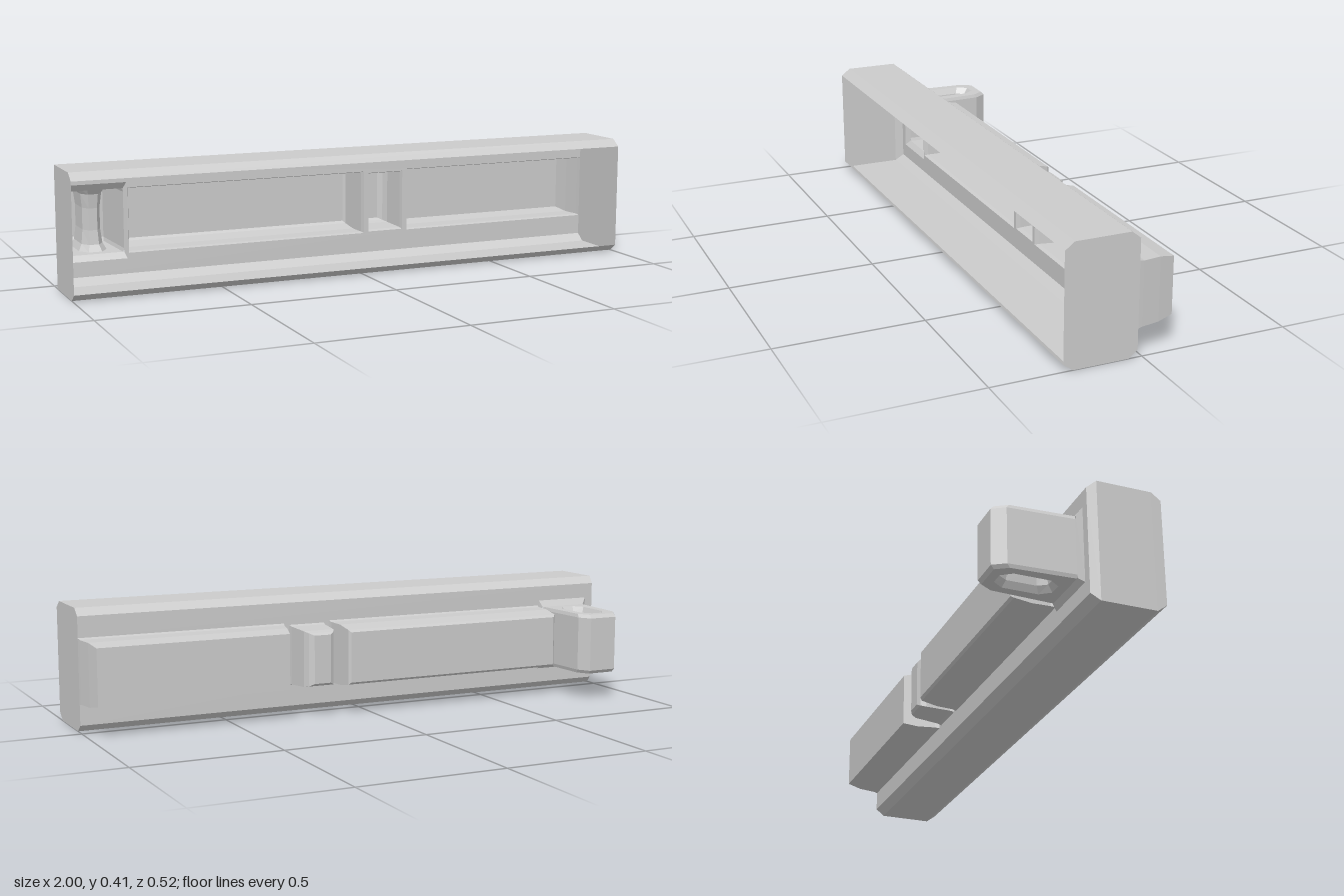
import * as THREE from 'three';

const material = new THREE.MeshStandardMaterial({ color: 0xcccccc, flatShading: true, side: THREE.DoubleSide });
const WALL_Z = 0.015;

// Skin between successive rings of points; optionally closed around and capped at the last ring
function skin(rings, { closed = true, cap = false } = {}) {
  const n = rings[0].length, index = [];
  const steps = closed ? n : n - 1;
  for (let r = 0; r < rings.length - 1; r++) {
    for (let i = 0; i < steps; i++) {
      const a = r * n + i, a2 = r * n + (i + 1) % n;
      index.push(a, a + n, a2, a2, a + n, a2 + n);
    }
  }
  if (cap) {
    const b = (rings.length - 1) * n;
    for (let i = 1; i < n - 1; i++) index.push(b, b + i + 1, b + i);
  }
  const g = new THREE.BufferGeometry();
  g.setAttribute('position', new THREE.Float32BufferAttribute(rings.flat(2), 3));
  g.setIndex(index);
  const out = g.toNonIndexed();
  out.computeVertexNormals();
  return out;
}

// Rectangular ring at depth z
const rect = (z, x0, x1, y0, y1) => [[x0, y0, z], [x1, y0, z], [x1, y1, z], [x0, y1, z]];

export function createModel() {
  const model = new THREE.Group();
  model.name = 'hollowRailCover';
  const add = (name, geometry, parent = model) => {
    const mesh = new THREE.Mesh(geometry, material);
    mesh.name = name;
    parent.add(mesh);
  };

  // Tray: open at the front, chamfered along its long edges
  add('trayWalls', skin([
    rect(0.262, -1, 1, 0.025, 0.385),
    rect(0.23, -1, 1, 0.001, 0.409),
    rect(0.045, -1, 1, 0.001, 0.409),
    rect(WALL_Z, -0.99, 1, 0.025, 0.385),
  ]));

  // Hollow pockets pushed out of the back wall
  const pockets = {
    longPocket: [
      rect(WALL_Z, -0.75, 0.108, 0.094, 0.314),
      rect(0, -0.745, 0.104, 0.097, 0.31),
      rect(-0.06, -0.741, 0.1, 0.098, 0.309),
      rect(-0.118, -0.737, 0.096, 0.108, 0.298),
      rect(-0.126, -0.729, 0.088, 0.116, 0.29),
    ],
    smallPocket: [
      rect(WALL_Z, 0.126, 0.258, 0.098, 0.308),
      rect(0, 0.13, 0.255, 0.102, 0.304),
      rect(-0.085, 0.137, 0.247, 0.107, 0.299),
      rect(-0.105, 0.146, 0.237, 0.112, 0.294),
      rect(-0.114, 0.16, 0.22, 0.12, 0.286),
    ],
    endPocket: [
      rect(WALL_Z, 0.276, 1, 0.094, 0.314),
      rect(0, 0.282, 0.998, 0.097, 0.31),
      rect(-0.06, 0.297, 0.988, 0.098, 0.309),
      rect(-0.112, 0.31, 0.976, 0.108, 0.298),
    ],
  };
  for (const [name, rings] of Object.entries(pockets)) add(name, skin(rings, { cap: true }));

  // Sloped collar around the foot of the loop
  const collar = [rect(WALL_Z, -0.96, -0.755, 0.076, 0.332), rect(0, -0.94, -0.762, 0.096, 0.31)];
  add('loopCollar', skin(collar));

  // Back wall with openings into every pocket, notched where the end pocket meets the end
  const v = (x, y) => new THREE.Vector2(x, -y);
  const wall = new THREE.Shape([
    v(-0.99, 0.025), v(1, 0.025), v(1, 0.094), v(0.276, 0.094),
    v(0.276, 0.314), v(1, 0.314), v(1, 0.385), v(-0.99, 0.385),
  ]);
  for (const ring of [pockets.longPocket[0], pockets.smallPocket[0], collar[0]]) {
    wall.holes.push(new THREE.Path(ring.map(([x, y]) => v(x, y))));
  }
  add('backWall', new THREE.ShapeGeometry(wall).rotateX(Math.PI).translate(0, 0, WALL_Z));

  // Loop: hollow lug with a waisted eye running through it vertically
  const loop = new THREE.Group();
  loop.name = 'loop';
  model.add(loop);
  const cx = -0.851;
  const lug = [[-0.089, 0], [-0.078, -0.22], [-0.052, -0.262], [0.052, -0.262], [0.078, -0.22], [0.089, 0]];
  const eye = [[-0.022, -0.095], [0.022, -0.095], [0.047, -0.06], [0.047, 0.06],
    [0.022, 0.095], [-0.022, 0.095], [-0.047, 0.06], [-0.047, -0.06]];
  const eyeZ = -0.127;
  const lugRing = (y, s) => lug.map(([x, z]) => [cx + x * s, y, z * s]);
  const eyeRing = (y, sx, sz) => eye.map(([x, z]) => [cx + x * sx, y, eyeZ + z * sz]);
  add('loopWall', skin([
    lugRing(0.096, 0.96), lugRing(0.108, 1), lugRing(0.298, 1), lugRing(0.31, 0.96),
  ], { closed: false }), loop);
  add('loopEye', skin([
    eyeRing(0.31, 1, 1), eyeRing(0.288, 0.76, 0.84), eyeRing(0.24, 0.64, 0.77),
    eyeRing(0.166, 0.64, 0.77), eyeRing(0.118, 0.76, 0.84), eyeRing(0.096, 1, 1),
  ]), loop);

  // Top and bottom faces of the loop
  for (const [name, y, s] of [['loopBottom', 0.096, 1], ['loopTop', 0.31, -1]]) {
    const flat = ([x, , z]) => new THREE.Vector2(x, s * z);
    const face = new THREE.Shape(lugRing(y, 0.96).map(flat));
    face.holes.push(new THREE.Path(eyeRing(y, 1, 1).map(flat)));
    add(name, new THREE.ShapeGeometry(face).rotateX(s * Math.PI / 2).translate(0, y, 0), loop);
  }
  return model;
}
